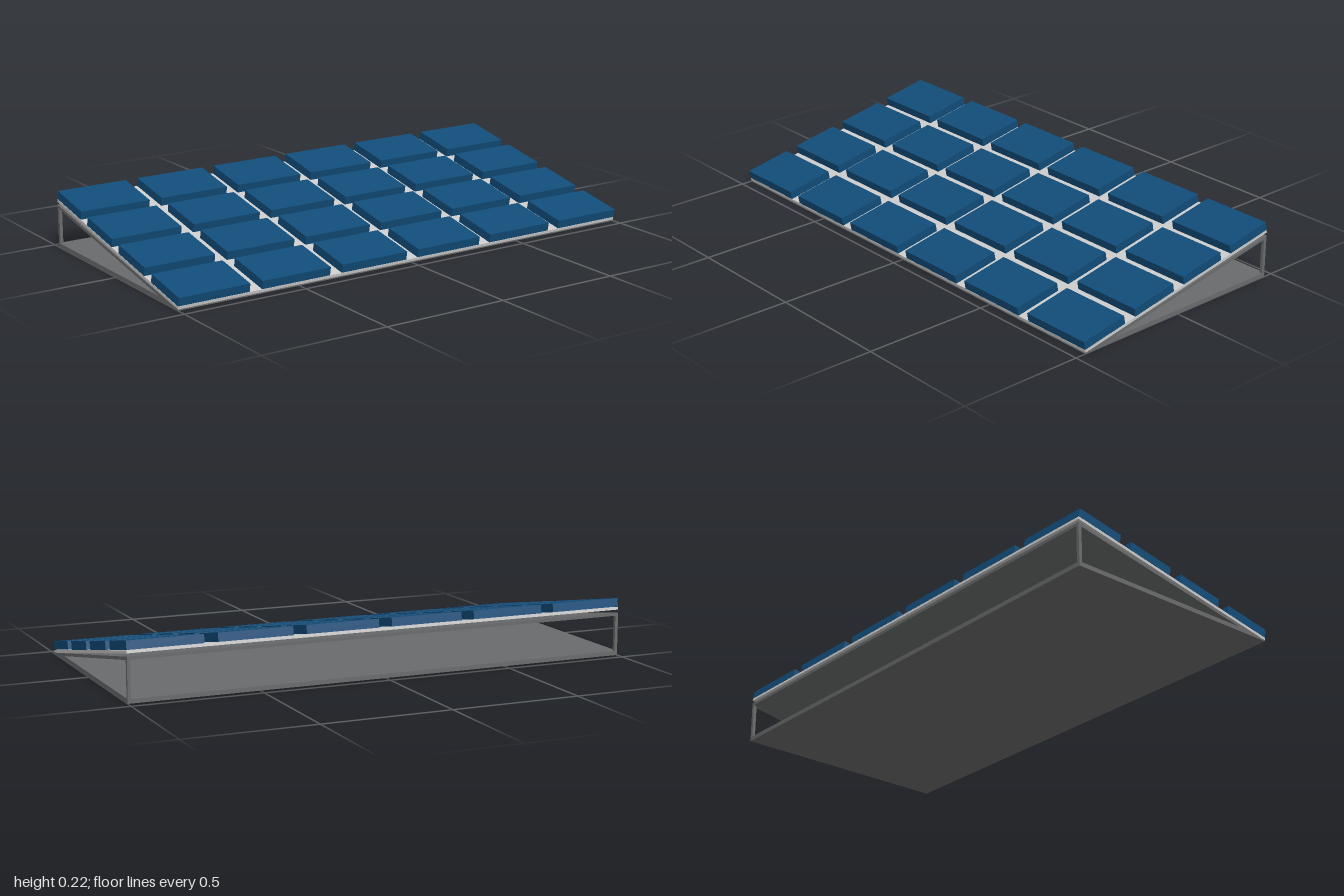
import * as THREE from 'three';

const metal = new THREE.MeshStandardMaterial({ color: 0xcccccc });
const darkMetal = new THREE.MeshStandardMaterial({ color: 0x6a6b6c });
const blue = new THREE.MeshStandardMaterial({ color: 0x114c79 });

const LENGTH = 2;
const TILT = THREE.MathUtils.degToRad(10.9);

function box(name, material, w, h, d, x, y, z) {
  const mesh = new THREE.Mesh(new THREE.BoxGeometry(w, h, d), material);
  mesh.name = name;
  mesh.position.set(x, y, z);
  return mesh;
}

// Floor plate and sloped support plate meeting at the front, open at the back
function wedgeStand() {
  const profile = [
    [0.457, 0], [-0.462, 0], [-0.462, 0.017], [0.32, 0.017],
    [-0.462, 0.157], [-0.462, 0.169], [0.457, 0.004],
  ];
  const shape = new THREE.Shape(profile.map(([z, y]) => new THREE.Vector2(-z, y)));
  const geometry = new THREE.ExtrudeGeometry(shape, { depth: LENGTH, bevelEnabled: false });
  geometry.rotateY(Math.PI / 2).translate(-LENGTH / 2, 0, 0);
  const mesh = new THREE.Mesh(geometry, darkMetal);
  mesh.name = 'wedgeStand';
  return mesh;
}

export function createModel() {
  const model = new THREE.Group();
  model.name = 'solarArray';
  model.add(wedgeStand());

  // Thin posts at the two rear corners
  for (const side of [-1, 1]) {
    model.add(box(side > 0 ? 'leftPost' : 'rightPost', darkMetal,
      0.012, 0.142, 0.013, side * 0.994, 0.087, -0.4555));
  }

  // Tilted assembly, hinged at its lower front edge
  const tilted = new THREE.Group();
  tilted.name = 'tiltedPanel';
  tilted.position.set(0, 0.004, 0.455);
  tilted.rotation.x = TILT;
  model.add(tilted);

  const depth = 0.934, thickness = 0.011;
  tilted.add(box('backingSheet', metal, LENGTH, thickness, depth, 0, thickness / 2, -depth / 2));

  // Grid of solar cells
  const cols = 6, rows = 4, cellW = 0.29, cellH = 0.033, cellD = 0.195;
  const pitchX = (LENGTH - cellW) / (cols - 1);
  const pitchZ = (depth - cellD) / (rows - 1);
  for (let r = 0; r < rows; r++) {
    for (let c = 0; c < cols; c++) {
      tilted.add(box('solarCell', blue, cellW, cellH, cellD,
        -LENGTH / 2 + cellW / 2 + c * pitchX,
        thickness + 0.001 + cellH / 2,
        -cellD / 2 - r * pitchZ));
    }
  }
  return model;
}
